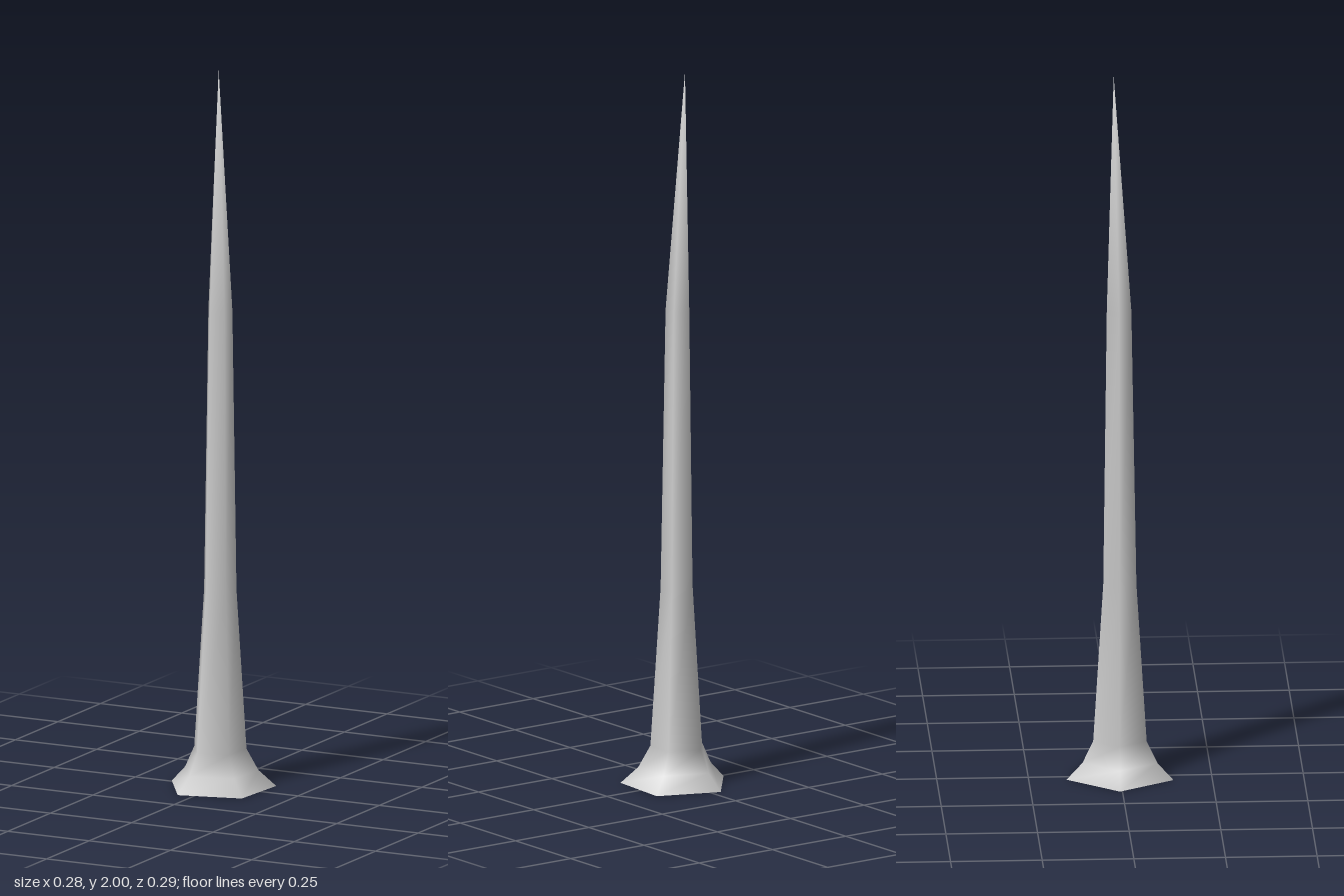
import * as THREE from 'three';

// Slightly irregular five-sided footprint, as [x, z]
const footprint = [
  [-0.027, -0.147], [0.141, -0.08], [0.129, 0.1], [-0.045, 0.144], [-0.142, -0.007],
];

// Cross-sections from the ground up: height, footprint scale, x and z offset
const rings = [
  { y: 0, scale: 1, x: 0, z: 0 },
  { y: 0.045, scale: 0.7, x: 0, z: 0 },
  { y: 0.105, scale: 0.5, x: 0, z: 0 },
  { y: 0.55, scale: 0.31, x: 0.004, z: 0 },
  { y: 1.33, scale: 0.23, x: 0.005, z: -0.002 },
];
const tip = [-0.003, 2, -0.017];

function spireGeometry() {
  const n = footprint.length;
  const positions = [];
  const index = [];
  for (const r of rings) {
    for (const [x, z] of footprint) positions.push(x * r.scale + r.x, r.y, z * r.scale + r.z);
  }
  positions.push(...tip);

  // Side walls between neighbouring rings, closed to a point at the tip
  const apex = rings.length * n;
  for (let j = 0; j < rings.length; j++) {
    for (let i = 0; i < n; i++) {
      const a = j * n + i;
      const b = j * n + (i + 1) % n;
      if (j === rings.length - 1) index.push(a, apex, b);
      else index.push(a, a + n, b, b, a + n, b + n);
    }
  }

  const geometry = new THREE.BufferGeometry();
  geometry.setAttribute('position', new THREE.Float32BufferAttribute(positions, 3));
  geometry.setIndex(index);
  geometry.computeVertexNormals();
  return geometry;
}

export function createModel() {
  const model = new THREE.Group();
  model.name = 'taperedTrunk';
  // Hollow trunk, open underneath
  const material = new THREE.MeshStandardMaterial({ color: 0xcccccc, side: THREE.DoubleSide });
  const trunk = new THREE.Mesh(spireGeometry(), material);
  trunk.name = 'trunk';
  model.add(trunk);
  return model;
}
